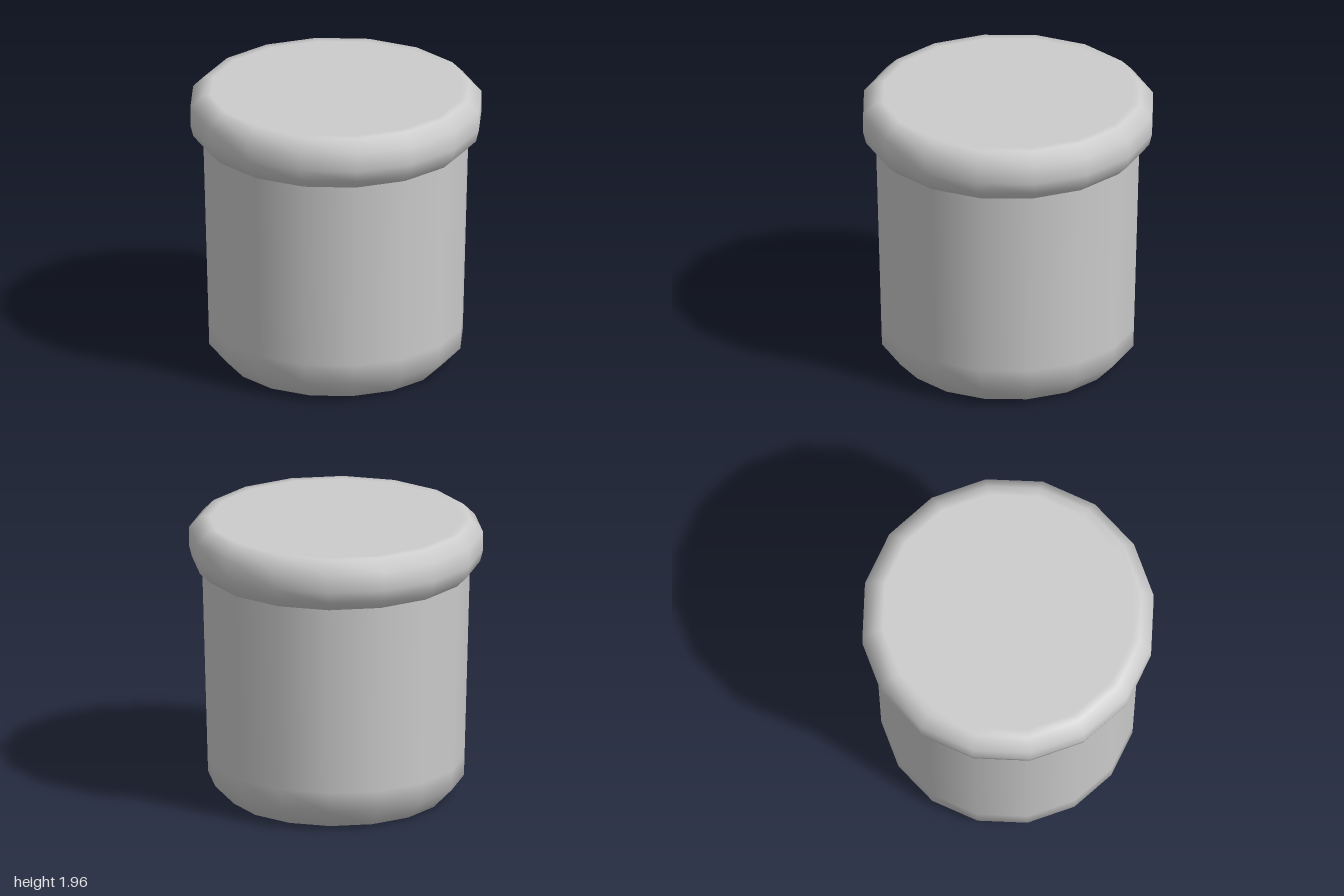
import * as THREE from 'three';

const SIDES = 16;

// Smooth lathed part from [radius, height] pairs, listed bottom to top
function lathed(name, profile, material) {
  const points = profile.map(([r, y]) => new THREE.Vector2(r, y));
  const mesh = new THREE.Mesh(new THREE.LatheGeometry(points, SIDES), material);
  mesh.name = name;
  return mesh;
}

export function createModel() {
  const grey = new THREE.MeshStandardMaterial({ color: 0xcccccc });
  grey.name = 'lightGrey';

  const jar = new THREE.Group();
  jar.name = 'jar';

  // Slightly flared body with a bevelled base; the inner rings keep the base flat
  jar.add(lathed('body', [
    [0, 0], [0.7, 0], [0.735, 0], [0.87, 0.14], [0.874, 0.28], [0.91, 1.6],
  ], grey));

  // Rounded lid overhanging the body
  jar.add(lathed('lid', [
    [0.91, 1.6], [0.98, 1.67], [1, 1.75], [1, 1.88], [0.92, 1.96], [0.86, 1.96], [0, 1.96],
  ], grey));

  return jar;
}
